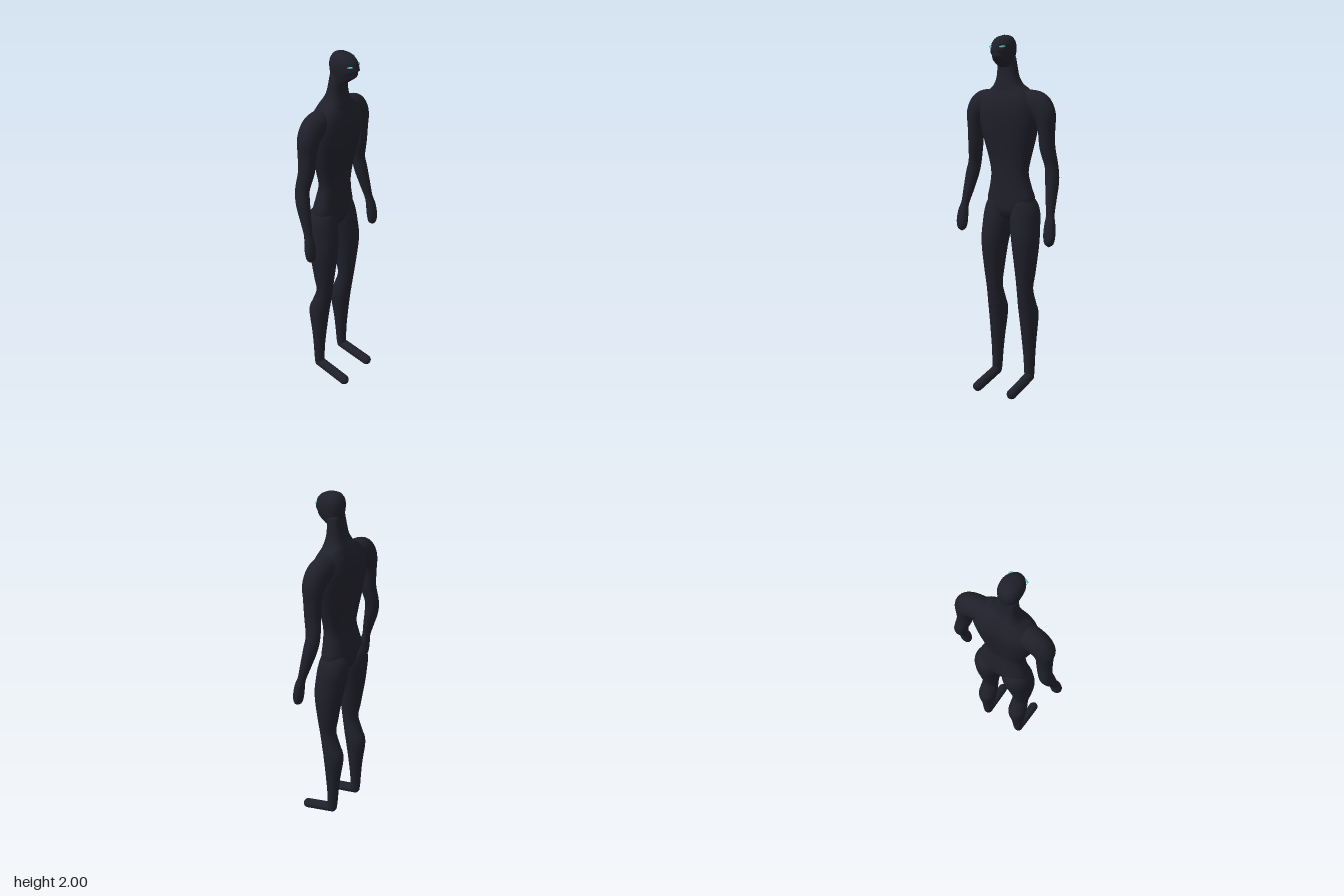
import * as THREE from 'three';

const skin = new THREE.MeshStandardMaterial({ color: 0x20202b });
skin.name = 'dark skin';
const glow = new THREE.MeshStandardMaterial({ color: 0x4fcdd3 });
glow.name = 'cyan eyes';

// Smooth loft through rings [x, y, z, halfWidth, halfDepth].
// power > 2 squares the section, point narrows its front, groove dents its back.
function loft(name, rings, { power = 2, point = 0, groove = 0 } = {}) {
  const sides = 32, steps = (rings.length - 1) * 5;
  const path = new THREE.CatmullRomCurve3(
    rings.map(r => new THREE.Vector3(r[0], r[1], r[2])), false, 'catmullrom');
  const size = new THREE.CatmullRomCurve3(
    rings.map(r => new THREE.Vector3(r[3], r[4], 0)), false, 'catmullrom');
  const bend = v => Math.sign(v) * Math.abs(v) ** (2 / power);
  const pos = [], index = [];
  for (let i = 0; i <= steps; i++) {
    const c = path.getPoint(i / steps), s = size.getPoint(i / steps);
    const t = path.getTangent(i / steps);
    const u = new THREE.Vector3(0, 0, 1).addScaledVector(t, -t.z).normalize();
    const v = new THREE.Vector3().crossVectors(t, u);
    for (let j = 0; j < sides; j++) {
      const a = j / sides * Math.PI * 2, front = Math.max(0, Math.cos(a));
      const across = bend(Math.sin(a)) * Math.max(s.x, 0.001) * (1 - point * front * front);
      let deep = bend(Math.cos(a)) * Math.max(s.y, 0.001);
      if (deep < 0) deep *= 1 - groove * Math.exp(-((across / 0.035) ** 2));
      const p = c.clone().addScaledVector(u, deep).addScaledVector(v, across);
      pos.push(p.x, p.y, p.z);
      if (i < steps) {
        const k = i * sides + j, n = i * sides + (j + 1) % sides;
        index.push(k, n, k + sides, n, n + sides, k + sides);
      }
    }
  }
  // end caps
  for (let j = 1; j < sides - 1; j++) {
    const e = steps * sides;
    index.push(0, j + 1, j, e, e + j, e + j + 1);
  }
  const geo = new THREE.BufferGeometry();
  geo.setAttribute('position', new THREE.Float32BufferAttribute(pos, 3));
  geo.setIndex(index);
  geo.computeVertexNormals();
  const mesh = new THREE.Mesh(geo, skin);
  mesh.name = name;
  return mesh;
}

// Upright ring from [y, halfWidth, back z, front z]
const upright = ([y, w, b, f]) => [0, y, (b + f) / 2, w, (f - b) / 2];

const torsoRings = [
  [0.985, 0.004, -0.06, -0.04], [1.0, 0.05, -0.1, 0], [1.04, 0.12, -0.12, 0.022],
  [1.1, 0.148, -0.118, 0.025], [1.17, 0.13, -0.105, 0.025], [1.25, 0.115, -0.092, 0.028],
  [1.33, 0.13, -0.098, 0.035], [1.42, 0.155, -0.11, 0.05], [1.52, 0.178, -0.12, 0.065],
  [1.6, 0.18, -0.125, 0.07], [1.66, 0.165, -0.112, 0.062], [1.7, 0.13, -0.095, 0.05],
  [1.73, 0.088, -0.082, 0.045], [1.77, 0.066, -0.065, 0.036], [1.82, 0.058, -0.053, 0.032],
  [1.88, 0.05, -0.045, 0.04],
];

const headRings = [
  [1.848, 0.015, 0.03, 0.1], [1.855, 0.038, 0.0, 0.12], [1.88, 0.052, -0.04, 0.123],
  [1.92, 0.06, -0.05, 0.112], [1.95, 0.059, -0.051, 0.098], [1.975, 0.049, -0.04, 0.083],
  [1.991, 0.031, -0.018, 0.062], [1.999, 0.003, 0.02, 0.026],
];

const armRings = [
  [0.06, 1.645, -0.035, 0.05, 0.05], [0.13, 1.64, -0.035, 0.068, 0.062],
  [0.19, 1.618, -0.036, 0.075, 0.061], [0.227, 1.57, -0.036, 0.063, 0.058],
  [0.238, 1.5, -0.037, 0.046, 0.052], [0.243, 1.4, -0.04, 0.042, 0.045],
  [0.26, 1.3, -0.055, 0.036, 0.04], [0.272, 1.22, -0.045, 0.038, 0.038],
  [0.282, 1.12, -0.02, 0.03, 0.03], [0.291, 1.04, 0, 0.023, 0.023],
  [0.296, 0.99, 0.012, 0.031, 0.026], [0.298, 0.93, 0.02, 0.035, 0.027],
  [0.298, 0.885, 0.024, 0.026, 0.021], [0.298, 0.867, 0.025, 0.003, 0.003],
];

const legRings = [
  [0.075, 1.14, -0.05, 0.02, 0.02], [0.083, 1.09, -0.052, 0.064, 0.07],
  [0.088, 1.03, -0.055, 0.083, 0.085], [0.095, 0.95, -0.045, 0.083, 0.086],
  [0.105, 0.85, -0.034, 0.075, 0.081], [0.107, 0.7, -0.03, 0.058, 0.06],
  [0.105, 0.6, -0.03, 0.047, 0.046], [0.105, 0.5, -0.054, 0.052, 0.054],
  [0.106, 0.44, -0.069, 0.053, 0.06], [0.109, 0.3, -0.068, 0.042, 0.042],
  [0.111, 0.2, -0.068, 0.034, 0.033], [0.113, 0.1, -0.066, 0.029, 0.028],
  [0.113, 0.07, -0.062, 0.024, 0.022],
];

export function createModel() {
  const model = new THREE.Group();
  model.name = 'figure';
  model.add(loft('torso', torsoRings.map(upright), { power: 2.5, groove: 0.14 }));
  model.add(loft('head', headRings.map(upright), { power: 2.4, point: 0.28 }));

  for (const side of [1, -1]) {
    const word = side > 0 ? 'left' : 'right';

    // The right forearm hangs slightly higher
    const lift = y => (side < 0 && y < 1.3 ? 1.3 - (1.3 - y) * 0.925 : y);
    model.add(loft(word + 'Arm', armRings.map(([x, y, ...r]) => [x * side, lift(y), ...r])));
    model.add(loft(word + 'Leg', legRings.map(([x, ...r]) => [x * side, ...r])));

    // Foot: capsule sloping from heel to toe
    const heel = new THREE.Vector3(0.114 * side, 0.083, -0.064);
    const toe = new THREE.Vector3(0.118 * side, 0.028, 0.115);
    const along = toe.clone().sub(heel);
    const foot = new THREE.Mesh(new THREE.CapsuleGeometry(0.028, along.length(), 10, 24), skin);
    foot.position.copy(heel).add(toe).multiplyScalar(0.5);
    foot.quaternion.setFromUnitVectors(new THREE.Vector3(0, 1, 0), along.normalize());
    foot.name = word + 'Foot';
    model.add(foot);

    // Narrow slanted eye
    const eye = new THREE.Mesh(new THREE.SphereGeometry(1, 20, 12), glow);
    eye.scale.set(0.019, 0.005, 0.006);
    eye.position.set(0.037 * side, 1.935, 0.093);
    eye.rotation.set(0, 0.42 * side, 0.12 * side);
    eye.name = word + 'Eye';
    model.add(eye);
  }
  return model;
}
